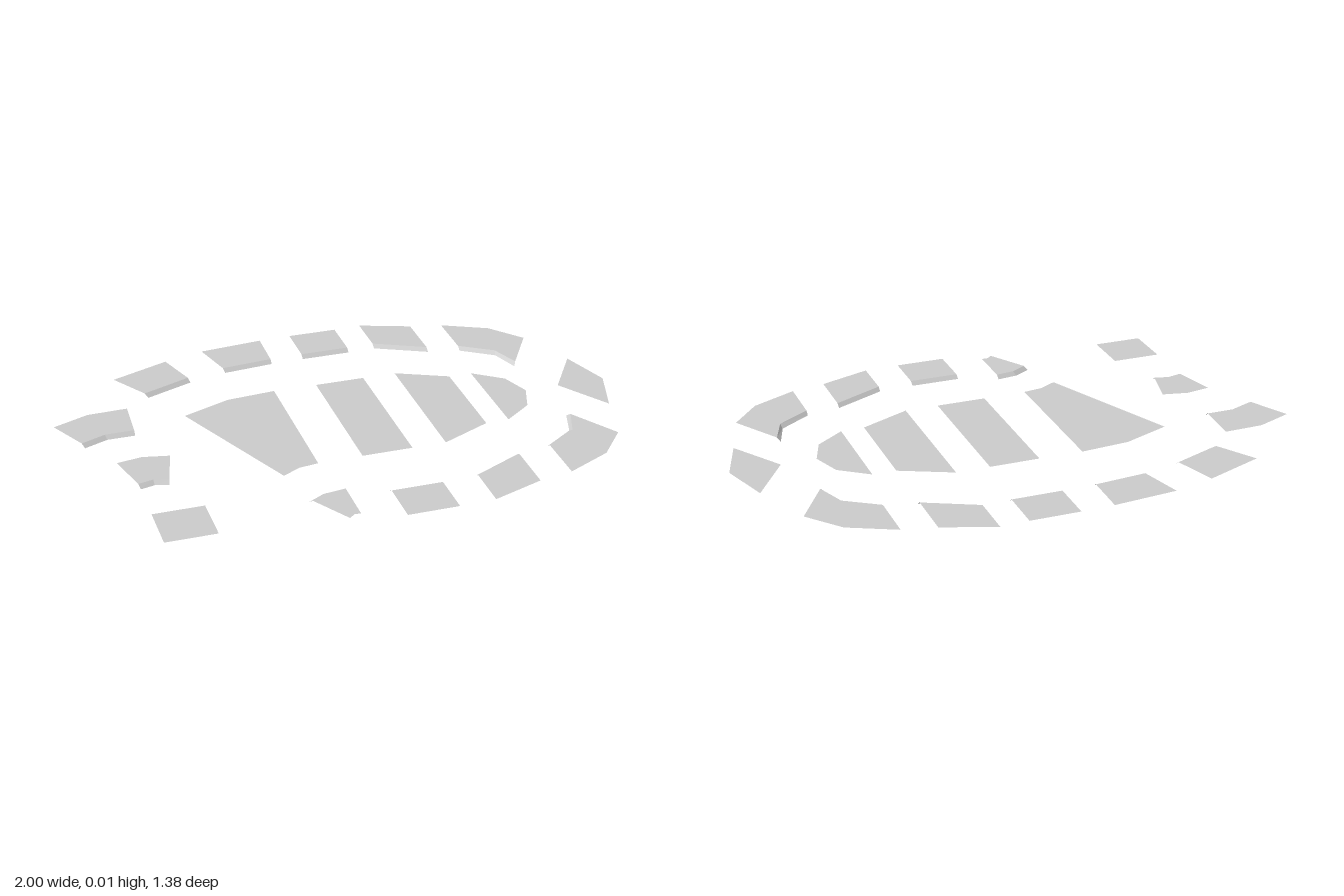
import * as THREE from 'three';

const TOP = 0.012;
const LIP = 0.018;
const grey = new THREE.MeshStandardMaterial({ color: 0xcccccc, side: THREE.DoubleSide, flatShading: true });
const p = (x, z) => new THREE.Vector2(x, z);

// Flat plate from an outline in x and z
function plate(name, outline) {
  const shape = new THREE.Shape(outline.map((v) => p(v.x, -v.y)));
  const mesh = new THREE.Mesh(new THREE.ShapeGeometry(shape).rotateX(-Math.PI / 2), grey);
  mesh.position.y = TOP;
  mesh.name = name;
  return mesh;
}

// Plate mirrored in z from the half with z >= 0
function mirroredPlate(name, ...half) {
  const other = half.filter((v) => v.y > 0).reverse().map((v) => p(v.x, -v.y));
  return plate(name, [...half, ...other]);
}

// Plate whose inner edge slopes to the floor; outer and inner points run in pairs
function lippedPlate(name, outer, inner) {
  const crease = inner.map((v, i) => outer[i].clone().sub(v).setLength(LIP).add(v));
  const pos = [];
  const index = [];
  crease.forEach((c, i) => {
    pos.push(c.x, TOP, c.y, inner[i].x, 0, inner[i].y);
    const k = 2 * i;
    if (i) index.push(k - 2, k - 1, k, k - 1, k + 1, k);
  });
  const geo = new THREE.BufferGeometry();
  geo.setAttribute('position', new THREE.Float32BufferAttribute(pos, 3));
  geo.setIndex(index);
  geo.computeVertexNormals();
  const lip = new THREE.Mesh(geo, grey);
  lip.name = 'innerLip';

  const group = new THREE.Group();
  group.name = name;
  group.add(plate('plate', [...outer, ...crease.reverse()]), lip);
  return group;
}

export function createModel() {
  const model = new THREE.Group();
  model.name = 'panelRing';

  // Middle row, end point and loose square
  model.add(
    plate('middleWidePanel', [p(-0.54, -0.19), p(-0.365, -0.26), p(-0.185, -0.275),
      p(-0.185, 0.275), p(-0.255, 0.285), p(-0.32, 0.32)]),
    mirroredPlate('middleStraightPanel', p(-0.025, 0.273), p(0.157, 0.273)),
    mirroredPlate('middleTaperedPanel', p(0.28, 0.273), p(0.465, 0.187)),
    mirroredPlate('middleEndPanel', p(0.55, 0.186), p(0.655, 0.108), p(0.693, 0)),
    mirroredPlate('endPoint', p(0.82, 0), p(0.94, 0.187), p(1, 0)),
    plate('cornerSquare', [p(-0.8, 0.425), p(-0.62, 0.425), p(-0.62, 0.605), p(-0.8, 0.605)]),
  );

  // Panels repeated along the back and front, the front ones shifted slightly
  for (const side of [-1, 1]) {
    const front = side > 0;
    const prefix = front ? 'front' : 'back';
    const place = (dx, dz) => (x, z) => p(front ? x + dx : x, side * (front ? z + dz : z));
    const s = place(0, -0.006);
    model.add(lippedPlate(prefix + 'StraightPanel', [s(-0.005, 0.69), s(0.177, 0.69)], [s(-0.005, 0.51), s(0.177, 0.51)]));
    const t = place(0.026, -0.015);
    model.add(lippedPlate(prefix + 'SlantedPanel', [t(0.28, 0.695), t(0.467, 0.628)], [t(0.28, 0.513), t(0.467, 0.422)]));
    const b = place(0.032, -0.01);
    model.add(lippedPlate(prefix + 'BentPanel', [b(0.585, 0.6), b(0.75, 0.52), b(0.85, 0.4)],
      [b(0.585, 0.395), b(0.7, 0.317), b(0.735, 0.211)]));
  }

  // Single panels of the ring
  model.add(
    lippedPlate('backMiddlePanel', [p(-0.36, -0.665), p(-0.125, -0.687)], [p(-0.313, -0.49), p(-0.128, -0.507)]),
    lippedPlate('backCornerPanel', [p(-0.725, -0.54), p(-0.51, -0.625)], [p(-0.63, -0.385), p(-0.455, -0.455)]),
    lippedPlate('rightBackPanel', [p(-1, -0.25), p(-0.87, -0.303), p(-0.725, -0.307)],
      [p(-0.92, -0.09), p(-0.835, -0.125), p(-0.735, -0.125)]),
    lippedPlate('rightFrontPanel', [p(-0.84, 0.065), p(-0.75, 0.05), p(-0.655, 0.07)],
      [p(-0.795, 0.24), p(-0.745, 0.228), p(-0.697, 0.24)]),
    lippedPlate('frontNarrowPanel', [p(-0.19, 0.645), p(-0.17, 0.627), p(-0.147, 0.628)],
      [p(-0.283, 0.49), p(-0.222, 0.455), p(-0.147, 0.445)]),
  );
  return model;
}
